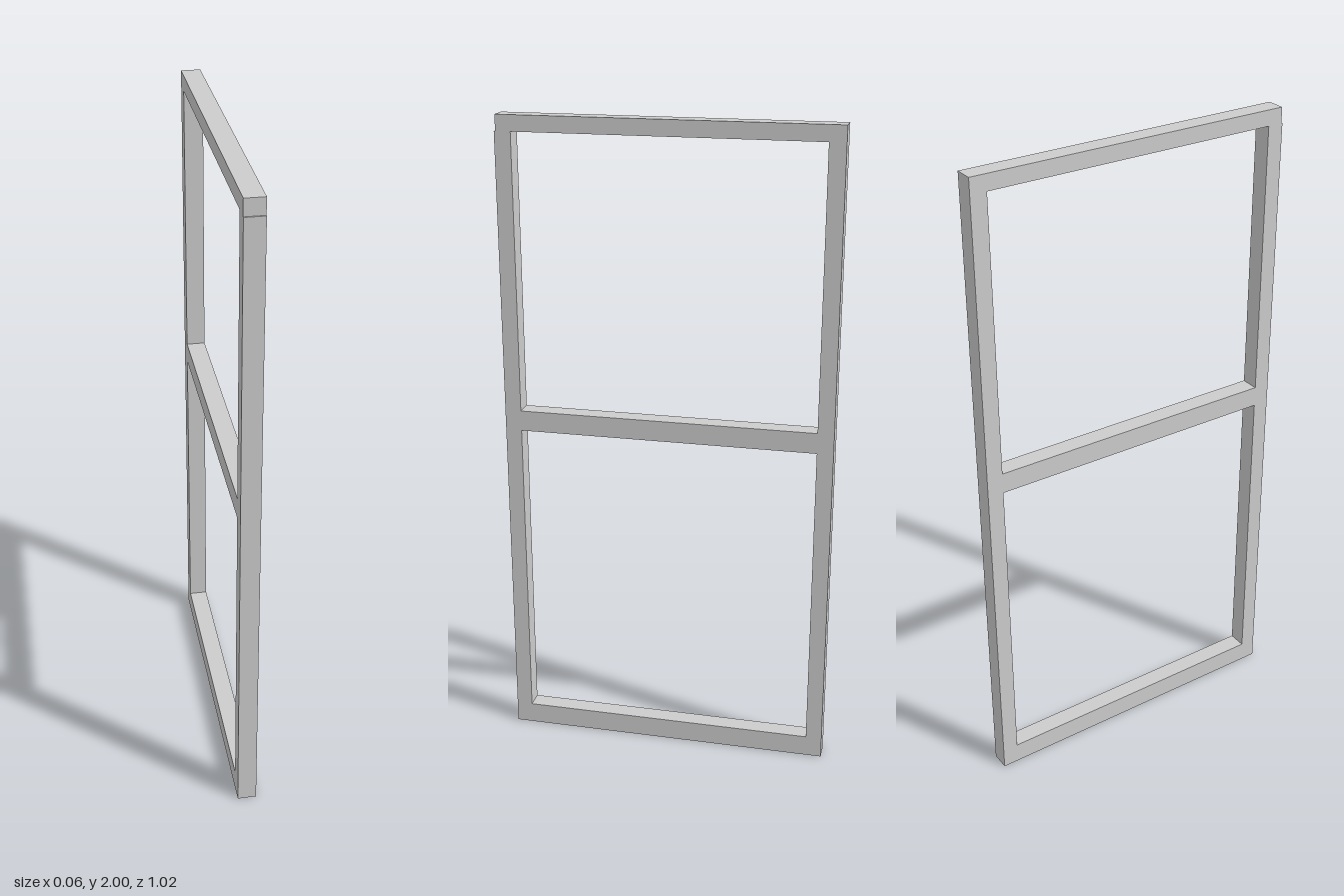
import * as THREE from 'three';

const DEPTH = 0.058; // frame thickness along x
const OUTER = 0.51;  // half width along z
const INNER = 0.46;  // half width of the openings

export function createModel() {
  const group = new THREE.Group();
  group.name = 'windowFrame';
  const material = new THREE.MeshStandardMaterial({ color: 0xcccccc, flatShading: true });

  // A straight bar spanning the given y and z ranges
  const addBar = (name, y0, y1, z0, z1) => {
    const bar = new THREE.Mesh(new THREE.BoxGeometry(DEPTH, y1 - y0, z1 - z0), material);
    bar.name = name;
    bar.position.set(0, (y0 + y1) / 2, (z0 + z1) / 2);
    group.add(bar);
  };

  // Upright stiles; the front one stops under the top rail
  addBar('frontStile', 0, 1.952, INNER, OUTER);
  addBar('backStile', 0, 2, -OUTER, -INNER);

  // Cross rails; the top one caps the front stile, set back slightly
  addBar('bottomRail', 0, 0.066, -INNER, INNER);
  addBar('middleRail', 1.037, 1.101, -INNER, INNER);
  addBar('topRail', 1.952, 2, -INNER, OUTER - 0.004);

  return group;
}
